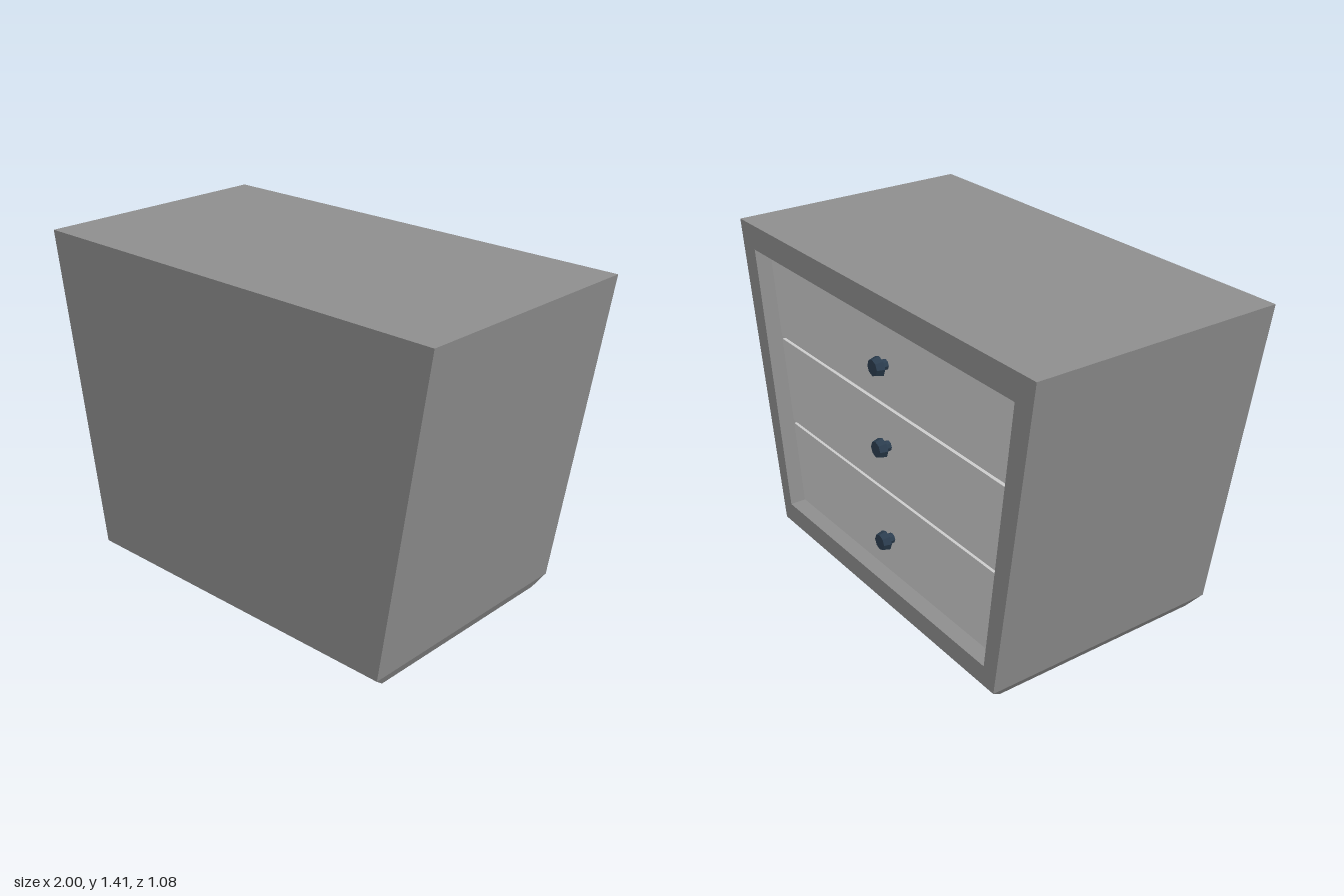
import * as THREE from 'three';

const bodyMat = new THREE.MeshStandardMaterial({ color: 0x8e8e8e });
const drawerMat = new THREE.MeshStandardMaterial({ color: 0xcccccc });
const knobMat = new THREE.MeshStandardMaterial({ color: 0x2c3e50, flatShading: true });

const HALF_DEPTH = 0.54, RECESS = 0.07, GAP = 0.014;
const OPEN_BOTTOM = 0.14, OPEN_TOP = 1.3;
const drawerZ = -HALF_DEPTH + RECESS;

// Sloping side edges of the opening at height y: [right, left]
function openingEdges(y) {
  const t = (y - OPEN_BOTTOM) / (OPEN_TOP - OPEN_BOTTOM);
  return [THREE.MathUtils.lerp(-0.72, -0.889, t), THREE.MathUtils.lerp(0.735, 0.889, t)];
}

// Corners of a slice of the opening between two heights
function openingSlice(y0, y1) {
  const [r0, l0] = openingEdges(y0), [r1, l1] = openingEdges(y1);
  return [[r0, y0], [l0, y0], [l1, y1], [r1, y1]].map(p => new THREE.Vector2(...p));
}

// Extrude a shape between two z positions
function slab(name, shape, z0, z1, mat) {
  const geo = new THREE.ExtrudeGeometry(shape, { depth: z1 - z0, bevelEnabled: false });
  geo.translate(0, 0, z0);
  const mesh = new THREE.Mesh(geo, mat);
  mesh.name = name;
  return mesh;
}

// Tapered outline of the cabinet
function outline() {
  return new THREE.Shape([[-0.78, 0.05], [0.788, 0.05], [1, 1.405], [-1, 1.413]].map(p => new THREE.Vector2(...p)));
}

// Plinth with its lower edge drawn in
function plinth() {
  const geo = new THREE.BoxGeometry(2, 1, 2);
  const pos = geo.attributes.position;
  for (let i = 0; i < pos.count; i++) {
    const top = pos.getY(i) > 0, left = pos.getX(i) > 0;
    const x = left ? (top ? 0.788 : 0.762) : (top ? -0.78 : -0.745);
    pos.setXYZ(i, x, top ? 0.05 : 0, Math.sign(pos.getZ(i)) * (top ? HALF_DEPTH : 0.48));
  }
  geo.computeVertexNormals();
  const mesh = new THREE.Mesh(geo, bodyMat);
  mesh.name = 'plinth';
  return mesh;
}

// Faceted knob on a short stem, pointing to -z
function knob(y) {
  const group = new THREE.Group();
  group.name = 'knob';
  const stem = new THREE.Mesh(new THREE.CylinderGeometry(0.022, 0.022, 0.04, 8), knobMat);
  stem.name = 'knobStem';
  stem.position.y = 0.015;
  const cap = new THREE.Mesh(new THREE.CylinderGeometry(0.034, 0.042, 0.032, 8), knobMat);
  cap.name = 'knobCap';
  cap.position.y = 0.045;
  group.add(stem, cap);
  group.rotation.x = -Math.PI / 2;
  group.position.set(0, y, drawerZ);
  return group;
}

export function createModel() {
  const model = new THREE.Group();
  model.name = 'drawerCabinet';

  // Solid carcass with a frame around the drawer recess
  const recessBack = drawerZ + 0.03;
  const frame = outline();
  frame.holes.push(new THREE.Path(openingSlice(OPEN_BOTTOM, OPEN_TOP)));
  model.add(
    slab('carcass', outline(), recessBack, HALF_DEPTH, bodyMat),
    slab('frame', frame, -HALF_DEPTH, recessBack, bodyMat),
    plinth()
  );

  // Three stacked drawers separated by narrow gaps
  const breaks = [OPEN_BOTTOM, 0.515, 0.903, OPEN_TOP];
  const knobHeights = [0.31, 0.735, 1.085];
  knobHeights.forEach((y, i) => {
    const y0 = breaks[i] + (i > 0 ? GAP / 2 : 0);
    const y1 = breaks[i + 1] - (i < 2 ? GAP / 2 : 0);
    model.add(slab('drawer', new THREE.Shape(openingSlice(y0, y1)), drawerZ, recessBack, drawerMat), knob(y));
  });
  return model;
}
